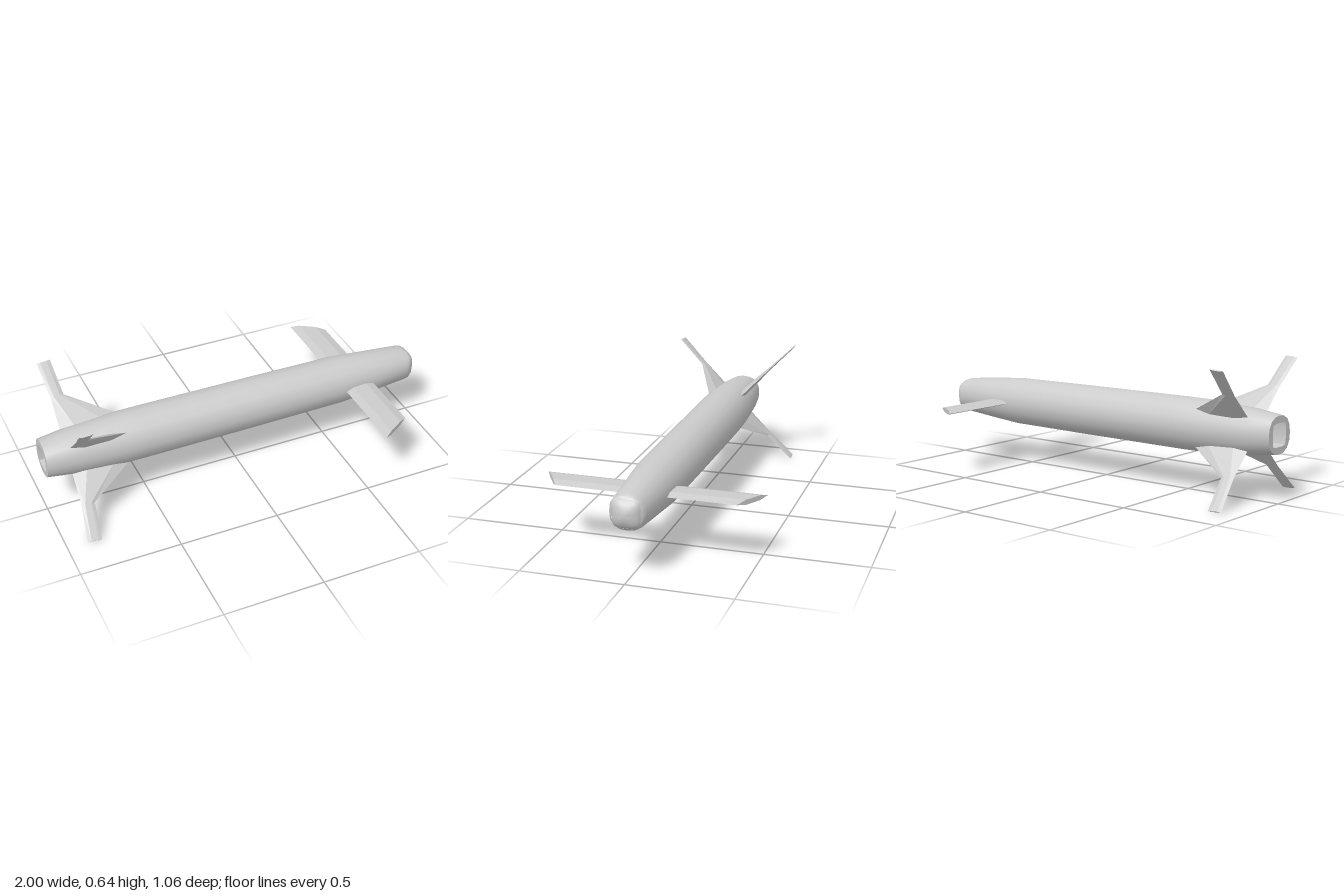
import * as THREE from 'three';
import { toCreasedNormals } from 'three/addons/utils/BufferGeometryUtils.js';

const AXIS_Y = 0.32;

// Skin a list of closed point rings, optionally closing the last one.
function loft(rings, crease, capEnd = false) {
  const n = rings[0].length;
  const index = [];
  for (let i = 0; i < rings.length - 1; i++) {
    for (let j = 0; j < n; j++) {
      const k = (j + 1) % n;
      const a = i * n + j, b = i * n + k;
      index.push(a, b, a + n, b, b + n, a + n);
    }
  }
  if (capEnd) {
    const o = (rings.length - 1) * n;
    for (let j = 1; j < n - 1; j++) index.push(o, o + j, o + j + 1);
  }
  const geo = new THREE.BufferGeometry();
  geo.setAttribute('position', new THREE.Float32BufferAttribute(rings.flat(2), 3));
  geo.setIndex(index);
  return toCreasedNormals(geo, crease);
}

// Ring around the x axis; power 2 is round, higher is a rounded square.
function ring([x, r, power], sides) {
  return Array.from({ length: sides }, (_, i) => {
    const a = (i / sides) * Math.PI * 2;
    const c = Math.cos(a), s = Math.sin(a);
    const d = r / (Math.abs(c) ** power + Math.abs(s) ** power) ** (1 / power);
    return [x, d * c, d * s];
  });
}

// Six-sided blade section: chord along x, span along y, thickness along z.
function bladeSection([xBack, xFront, spanBack, spanFront, t]) {
  const at = (u, z) => [
    THREE.MathUtils.lerp(xBack, xFront, u),
    THREE.MathUtils.lerp(spanBack, spanFront, u),
    z,
  ];
  return [at(0, 0), at(0.25, t), at(0.72, t), at(1, 0), at(0.72, -t), at(0.25, -t)];
}

export function createModel() {
  const model = new THREE.Group();
  model.name = 'missile';
  const material = new THREE.MeshStandardMaterial({ color: 0xcccccc });

  const add = (name, geometry, turn = 0) => {
    const mesh = new THREE.Mesh(geometry, material);
    mesh.name = name;
    mesh.position.y = AXIS_Y;
    mesh.rotation.x = turn;
    model.add(mesh);
  };

  // Hull, starting inside the square exhaust recess and running to the nose rim
  const hull = [
    [-0.9, 0.0005, 8], [-0.9, 0.055, 8], [-1, 0.055, 8], [-1, 0.09, 2.4],
    [-0.87, 0.107, 2.3], [-0.62, 0.127, 2], [-0.5, 0.128, 2], [0.1, 0.125, 2],
    [0.56, 0.121, 2], [0.75, 0.106, 2], [0.935, 0.088, 2.2], [0.957, 0.08, 2.6],
    [0.966, 0.068, 4],
  ];
  add('hull', loft(hull.map((p) => ring(p, 16)), 0.65));

  // Rounded-square seeker dome
  const dome = [
    [0.964, 0.068, 4], [0.975, 0.062, 3.6], [0.985, 0.049, 3],
    [0.993, 0.033, 2.4], [0.998, 0.016, 2], [1, 0.0005, 2],
  ];
  add('noseDome', loft(dome.map((p) => ring(p, 32)), 0.8));

  // Forward wings, one on each side
  const wing = loft([
    [0.565, 0.725, 0.08, 0.08, 0.012],
    [0.565, 0.725, 0.53, 0.43, 0.012],
  ].map(bladeSection), 0.1, true);
  add('frontWing', wing, Math.PI / 2);
  add('rearWing', wing, -Math.PI / 2);

  // Four cranked tail fins in an X
  const fin = loft([
    [-0.88, -0.585, 0.09, 0.115, 0.016],
    [-0.88, -0.815, 0.265, 0.27, 0.006],
    [-0.9, -0.832, 0.443, 0.449, 0.003],
  ].map(bladeSection), 0.1, true);
  for (let i = 0; i < 4; i++) add(`tailFin${i + 1}`, fin, Math.PI / 4 + (i * Math.PI) / 2);

  return model;
}
